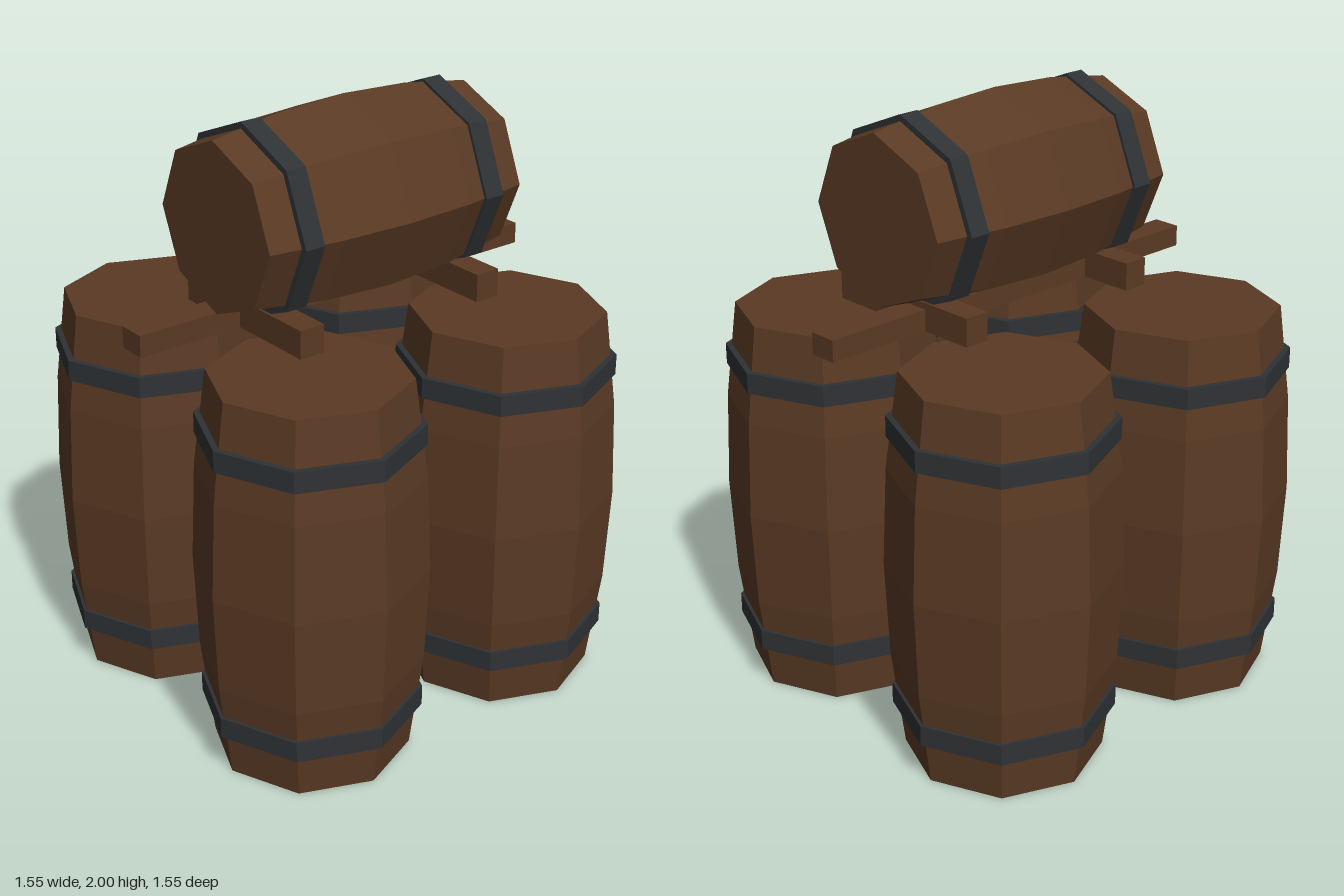
import * as THREE from 'three';

const wood = new THREE.MeshStandardMaterial({ color: 0x5a3a24 });
wood.name = 'brown wood';
const iron = new THREE.MeshStandardMaterial({ color: 0x2f3235 });
iron.name = 'dark iron';

// Eight-sided faceted lathe from [radius, height] pairs, bottom to top
function facetedLathe(profile) {
  const points = profile.map(([r, y]) => new THREE.Vector2(r, y));
  const geometry = new THREE.LatheGeometry(points, 8).toNonIndexed();
  geometry.computeVertexNormals();
  return geometry;
}

// Barrel centred on its own origin, standing along y
function makeBarrel(name, { length, endRadius, midRadius, hoopRadius, hoopOffset, hoopWidth }) {
  const barrel = new THREE.Group();
  barrel.name = name;

  // Bulging staves with flat lids
  const profile = [[0, -length / 2]];
  for (let i = -2; i <= 2; i++) {
    const t = i / 2;
    profile.push([midRadius - (midRadius - endRadius) * t * t, t * length / 2]);
  }
  profile.push([0, length / 2]);
  const body = new THREE.Mesh(facetedLathe(profile), wood);
  body.name = 'barrelBody';
  barrel.add(body);

  // Two iron hoops
  const h = hoopWidth / 2;
  const inner = endRadius;
  const hoopGeometry = facetedLathe([[inner, -h], [hoopRadius, -h], [hoopRadius, h], [inner, h]]);
  for (const side of [-1, 1]) {
    const hoop = new THREE.Mesh(hoopGeometry, iron);
    hoop.name = side < 0 ? 'lowerHoop' : 'upperHoop';
    hoop.position.y = side * hoopOffset;
    barrel.add(hoop);
  }
  return barrel;
}

function makeBeam(name, size, position) {
  const beam = new THREE.Mesh(new THREE.BoxGeometry(...size), wood);
  beam.name = name;
  beam.position.set(...position);
  return beam;
}

export function createModel() {
  const model = new THREE.Group();
  model.name = 'barrelStack';

  // Four standing barrels
  for (const x of [-1, 1]) {
    for (const z of [-1, 1]) {
      const name = (z > 0 ? 'front' : 'back') + (x > 0 ? 'Left' : 'Right') + 'Barrel';
      const barrel = makeBarrel(name, {
        length: 1.296, endRadius: 0.317, midRadius: 0.373,
        hoopRadius: 0.356, hoopOffset: 0.467, hoopWidth: 0.07,
      });
      barrel.position.set(x * 0.4, 0.648, z * 0.4);
      model.add(barrel);
    }
  }

  // Barrel lying across the top
  const lying = makeBarrel('lyingBarrel', {
    length: 0.986, endRadius: 0.277, midRadius: 0.327,
    hoopRadius: 0.314, hoopOffset: 0.354, hoopWidth: 0.07,
  });
  lying.rotation.z = Math.PI / 2;
  lying.position.set(0, 1.673, 0.059);
  model.add(lying);

  // Cradle: one long plank and two cross supports
  model.add(makeBeam('longPlank', [1.528, 0.071, 0.095], [0, 1.358, -0.002]));
  for (const x of [-1, 1]) {
    model.add(makeBeam(x > 0 ? 'leftCrossSupport' : 'rightCrossSupport',
      [0.088, 0.093, 0.588], [x * 0.353, 1.369, 0.059]));
  }
  return model;
}
